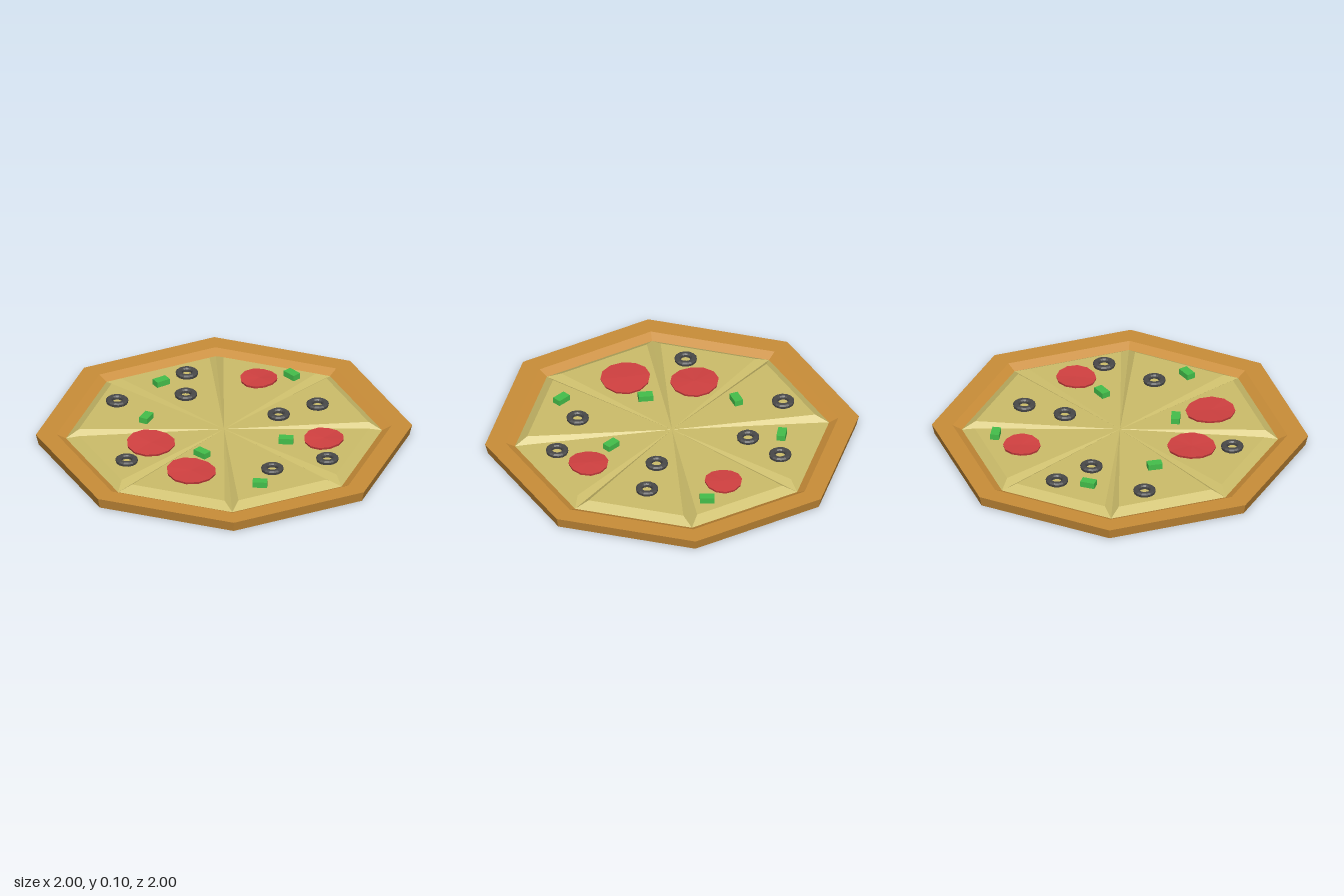
import * as THREE from 'three';

const mat = (color) => new THREE.MeshStandardMaterial({ color, flatShading: true });
const V = (x, y) => new THREE.Vector2(x, y);
const SIDES = 8;
const TOP = 0.064; // height of the cheese surface

// One bevelled wedge of cheese, apex in the middle, sloping down into the cuts
function sliceGeometry() {
  const step = (Math.PI * 2) / SIDES;
  const at = (r, side, y, angle) => [
    r * Math.sin(angle) + side * Math.cos(angle), y,
    r * Math.cos(angle) - side * Math.sin(angle),
  ];
  const corners = [
    [0, TOP, 0],
    at(0.84, 0, 0.032, 0), at(0.84, 0, 0.032, step),
    at(0.77, 0.037, TOP, 0), at(0.77, -0.037, TOP, step),
  ];
  const geo = new THREE.BufferGeometry();
  geo.setAttribute('position', new THREE.Float32BufferAttribute(corners.flat(), 3));
  geo.setIndex([0, 3, 4, 0, 1, 3, 0, 4, 2, 1, 2, 4, 1, 4, 3]);
  const flat = geo.toNonIndexed();
  flat.computeVertexNormals();
  return flat;
}

// Thin disc with a gently curled edge
function pepperoniGeometry(r) {
  const geo = new THREE.CylinderGeometry(r, r * 0.97, 0.013, 12);
  const p = geo.attributes.position;
  for (let i = 0; i < p.count; i++) {
    const x = p.getX(i) / r, z = p.getZ(i) / r;
    p.setY(i, p.getY(i) + 0.004 * (x * x - z * z));
  }
  geo.computeVertexNormals();
  return geo;
}

export function createModel() {
  const model = new THREE.Group();
  const add = (name, geo, material, x = 0, y = 0, z = 0) => {
    const mesh = new THREE.Mesh(geo, material);
    mesh.name = name;
    mesh.position.set(x, y, z);
    model.add(mesh);
    return mesh;
  };

  // Crust: octagonal tray with a raised rim
  const crust = [V(0, 0), V(0.985, 0), V(1, 0.058), V(0.89, 0.058), V(0.84, 0.032), V(0, 0.03)];
  add('crust', new THREE.LatheGeometry(crust, SIDES), mat(0xc98d38));

  // Cheese slices
  const slice = sliceGeometry();
  const cheese = mat(0xccbd6a);
  for (let i = 0; i < SIDES; i++) {
    add('cheeseSlice', slice, cheese).rotation.y = (i * Math.PI * 2) / SIDES;
  }

  // Pepperoni: x, z, radius, tilt about x, tilt about z
  const red = mat(0xd04040);
  [
    [-0.21, -0.51, 0.1, 0, 0.02],
    [0.48, -0.26, 0.107, 0.03, 0],
    [-0.17, 0.39, 0.13, 0.02, -0.03],
    [0.19, 0.47, 0.133, -0.02, -0.04],
  ].forEach(([x, z, r, tx, tz]) => {
    add('pepperoni', pepperoniGeometry(r), red, x, 0.077, z).rotation.set(tx, 0, tz);
  });

  // Olive rings
  const ring = new THREE.LatheGeometry(
    [V(0.027, 0), V(0.058, 0), V(0.06, 0.015), V(0.051, 0.022), V(0.034, 0.022), V(0.027, 0.015), V(0.027, 0)], 14);
  const black = mat(0x484848);
  [
    [0.2, -0.52], [0.12, -0.3], [0.63, -0.12], [0.485, 0.155],
    [-0.15, 0.605], [-0.615, 0.165], [-0.39, -0.13], [-0.54, -0.305],
  ].forEach(([x, z]) => add('oliveRing', ring, black, x, 0.063, z));

  // Diced green pepper: x, z, turn
  const dice = new THREE.BoxGeometry(0.078, 0.036, 0.047);
  const green = mat(0x44be4a);
  [
    [-0.105, -0.655, -0.1], [-0.57, -0.135, 1.3], [0.34, -0.115, 0.66],
    [-0.37, 0.205, -1.3], [0.105, 0.29, 0], [0.55, 0.325, 0.66],
  ].forEach(([x, z, turn]) => {
    add('greenPepper', dice, green, x, 0.078, z).rotation.y = turn;
  });

  return model;
}
